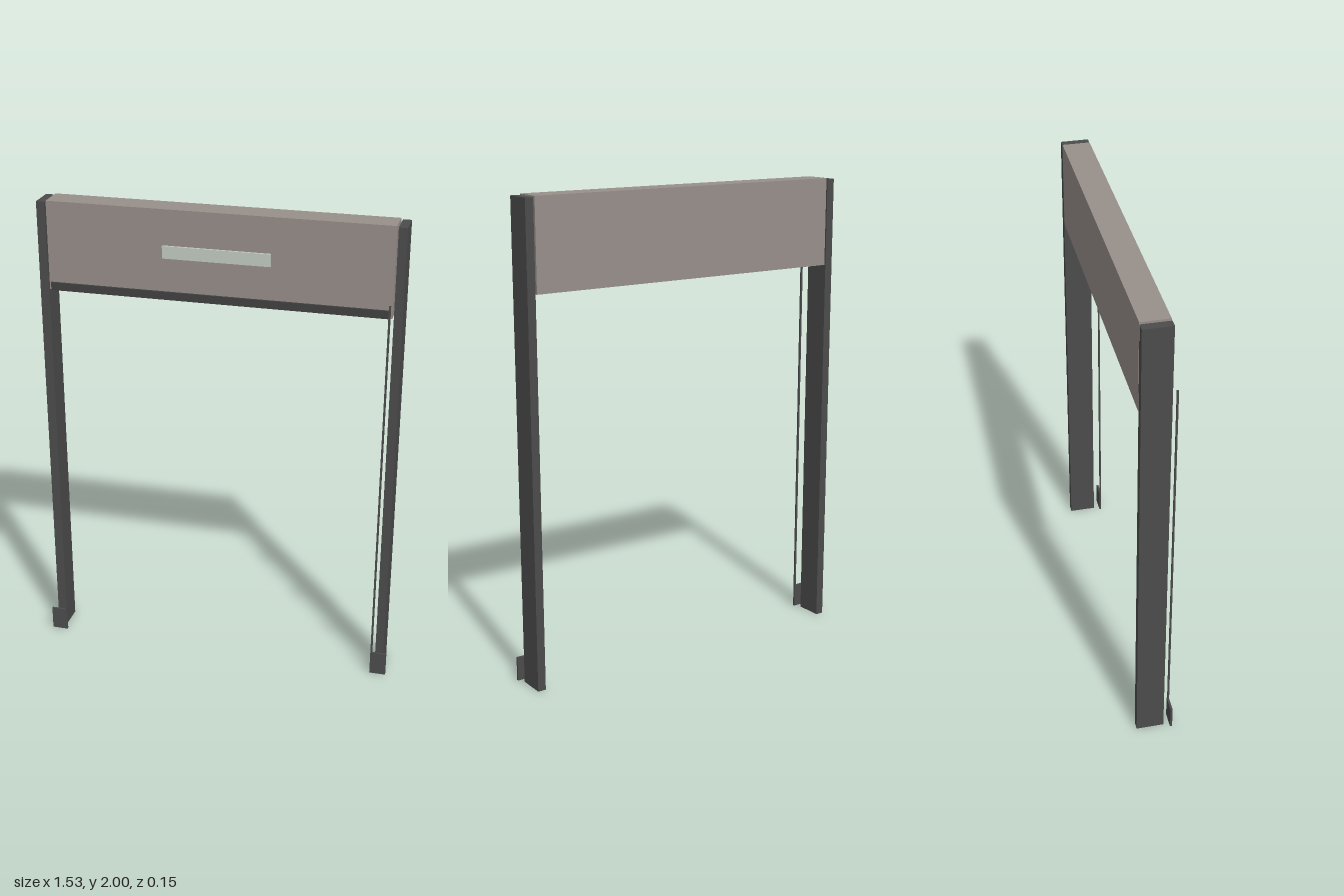
import * as THREE from 'three';

const mat = (name, color) => {
  const m = new THREE.MeshStandardMaterial({ color });
  m.name = name;
  return m;
};

export function createModel() {
  const model = new THREE.Group();
  model.name = 'rollerGate';
  const metal = mat('dark grey metal', 0x4c4c4c);
  const rubber = mat('charcoal rubber', 0x414141);
  const casing = mat('warm grey casing', 0x978f8a);
  const label = mat('pale green plate', 0xc4ccc1);

  // Box given by its minimum and maximum corners
  const box = (name, material, [x0, y0, z0], [x1, y1, z1], parent = model) => {
    const mesh = new THREE.Mesh(new THREE.BoxGeometry(x1 - x0, y1 - y0, z1 - z0), material);
    mesh.position.set((x0 + x1) / 2, (y0 + y1) / 2, (z0 + z1) / 2);
    mesh.name = name;
    parent.add(mesh);
  };

  // Header casing, bottom seal and front plate
  box('headerCasing', casing, [-0.709, 1.627, -0.075], [0.709, 2, 0.04]);
  box('bottomSeal', rubber, [-0.7, 1.627, 0.04], [0.7, 1.66, 0.049]);
  box('frontPlate', label, [-0.222, 1.8, 0.04], [0.222, 1.852, 0.049]);

  // Post, thin guide rod and foot plate on each side
  for (const s of [-1, 1]) {
    const side = new THREE.Group();
    side.name = s > 0 ? 'leftSide' : 'rightSide';
    const part = (name, xa, xb, y0, y1, z0, z1) =>
      box(name, metal, [Math.min(s * xa, s * xb), y0, z0], [Math.max(s * xa, s * xb), y1, z1], side);
    part('post', 0.715, 0.75, 0, 1.995, -0.075, 0.041);
    part('guideRod', 0.698, 0.706, 0.1, 1.69, 0.068, 0.075);
    part('footPlate', 0.698, 0.767, 0, 0.102, 0.066, 0.075);
    model.add(side);
  }
  return model;
}
